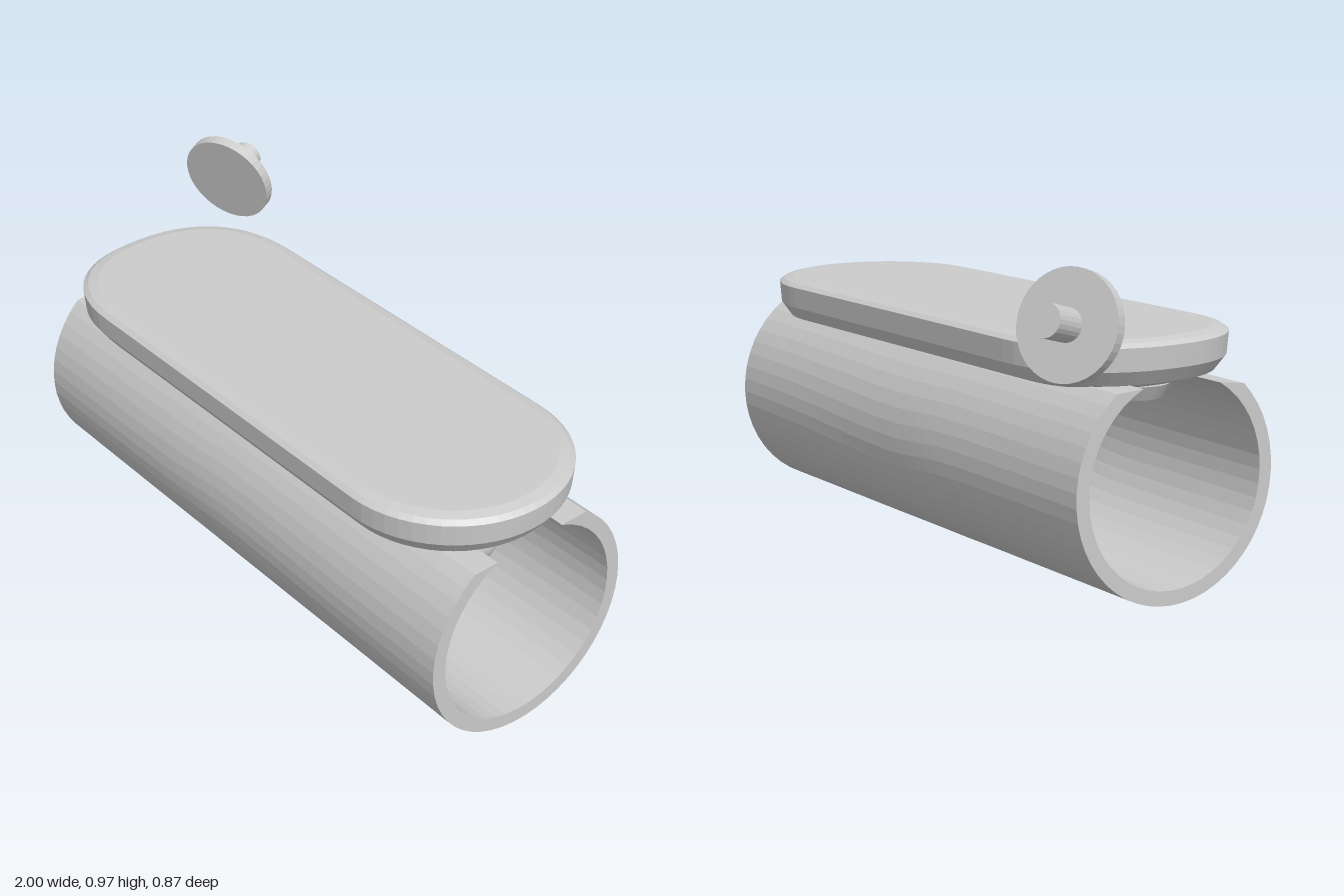
import * as THREE from 'three';

const smooth = new THREE.MeshStandardMaterial({ color: 0xcccccc, side: THREE.DoubleSide });
const flat = new THREE.MeshStandardMaterial({ color: 0xcccccc, side: THREE.DoubleSide, flatShading: true });
const ZC = 0.0885, YC = 0.3435; // tube axis
const HOLE = [-0.63, 0.08];
const rad = THREE.MathUtils.degToRad, lerp = THREE.MathUtils.lerp;

function add(parent, name, geometry, material = flat, x = 0, y = 0, z = 0) {
  const mesh = new THREE.Mesh(geometry, material);
  mesh.name = name;
  mesh.position.set(x, y, z);
  parent.add(mesh);
  return mesh;
}

// Joins closed rings of equal length into a skin.
function loft(rings, capEnds = false) {
  const n = rings[0].length, index = [];
  for (let i = 0; i < rings.length - 1; i++)
    for (let j = 0; j < n; j++) {
      const a = i * n + j, b = i * n + (j + 1) % n;
      index.push(a, a + n, b, b, a + n, b + n);
    }
  // Each half of the ring faces the other half across the wall.
  if (capEnds)
    for (let j = 0; j < n / 2 - 1; j++) {
      const k = n - 1 - j, e = (rings.length - 1) * n;
      index.push(j, j + 1, k, k, j + 1, k - 1);
      index.push(e + j, e + k, e + j + 1, e + k, e + k - 1, e + j + 1);
    }
  const geometry = new THREE.BufferGeometry();
  geometry.setAttribute('position', new THREE.Float32BufferAttribute(rings.flat(2), 3));
  geometry.setIndex(index);
  geometry.computeVertexNormals();
  return geometry;
}

// Split tube with a gentle twist in its facets.
function tubeGeometry() {
  const rings = [], M = 40, stations = 36;
  for (let s = 0; s <= stations; s++) {
    const t = s / stations, x = lerp(-0.83, 1, t);
    const wave = 0.13 * Math.exp(-(((x - 0.1) / (x < 0.1 ? 0.2 : 0.45)) ** 2));
    const arc = (r, back, front) => Array.from({ length: M + 1 }, (_, i) => {
      const u = i / M;
      const a = lerp(rad(back), 2 * Math.PI - rad(front), u) + wave * Math.sin(Math.PI * u);
      return [x, YC + r * Math.cos(a), ZC - r * Math.sin(a)];
    });
    rings.push([
      ...arc(0.3435, lerp(38, 33.6, t), lerp(43, 38, t)),
      ...arc(0.301, lerp(24, 19.4, t), lerp(29, 25.8, t)).reverse(),
    ]);
  }
  return loft(rings, true);
}

// Long plate outline: round on one end, squarer on the other.
function outline(inset) {
  const points = [], N = 28, h = 0.343 - inset;
  const power = (v, p) => Math.sign(v) * Math.abs(v) ** p;
  for (let i = 0; i <= N; i++) {
    const a = -Math.PI / 2 + Math.PI * i / N;
    points.push([0.657 + h * Math.cos(a), h * Math.sin(a)]);
  }
  for (let i = 0; i <= N; i++) {
    const a = Math.PI / 2 + Math.PI * i / N;
    points.push([-0.487 + h * power(Math.cos(a), 0.87), h * power(Math.sin(a), 0.87)]);
  }
  return points;
}

function capShape(inset) {
  return new THREE.Shape(outline(inset).map(([x, z]) => new THREE.Vector2(x, z)));
}

function buildPlate() {
  const plate = new THREE.Group();
  plate.name = 'topPlate';
  const profile = [[0.14, 0.595], [0.09, 0.602], [0.035, 0.62], [0.005, 0.662], [0, 0.727], [0.015, 0.738], [0.045, 0.745]];
  add(plate, 'plateRim', loft(profile.map(([inset, y]) =>
    outline(inset).map(([x, z]) => [x, y, z + ZC]))));
  const top = capShape(0.045);
  top.holes.push(new THREE.Path().absarc(HOLE[0], ZC - HOLE[1], 0.157, 0, Math.PI * 2, true));
  add(plate, 'plateTop', new THREE.ShapeGeometry(top, 24).rotateX(-Math.PI / 2), flat, 0, 0.745, ZC);
  add(plate, 'plateUnderside', new THREE.ShapeGeometry(capShape(0.14)).rotateX(Math.PI / 2), flat, 0, 0.595, ZC);

  // Stepped round recess with a toothed ring on its floor
  const recess = [[0, 0.61], [0.125, 0.61], [0.125, 0.685], [0.157, 0.69], [0.157, 0.745]];
  add(plate, 'recess', new THREE.LatheGeometry(recess.map(p => new THREE.Vector2(...p)), 40), flat, HOLE[0], 0, HOLE[1]);
  for (let i = 0; i < 10; i++) {
    const a = i / 10 * Math.PI * 2;
    const tooth = add(plate, 'recessTooth', new THREE.BoxGeometry(0.06, 0.04, 0.03), flat,
      HOLE[0] + 0.095 * Math.cos(a), 0.63, HOLE[1] + 0.095 * Math.sin(a));
    tooth.rotation.y = -a;
  }
  add(plate, 'boss', new THREE.CylinderGeometry(0.108, 0.085, 0.042, 32), flat, HOLE[0], 0.576, 0.09);
  return plate;
}

// Loose round knob: disc with a short stem, tilted backwards.
function buildKnob() {
  const knob = new THREE.Group();
  knob.name = 'knob';
  add(knob, 'knobDisc', new THREE.CylinderGeometry(0.151, 0.151, 0.034, 40));
  add(knob, 'knobStem', new THREE.CylinderGeometry(0.046, 0.046, 0.11, 24), flat, 0, 0.07, 0);
  knob.position.set(-0.857, 0.818, -0.302);
  knob.quaternion.setFromUnitVectors(new THREE.Vector3(0, 1, 0), new THREE.Vector3(-0.35, 0.25, -0.9).normalize());
  return knob;
}

// Small latch inside the tube: ball, slanted bar, bracket and pin.
function buildLatch() {
  const latch = new THREE.Group();
  latch.name = 'latch';
  add(latch, 'latchBall', new THREE.SphereGeometry(0.12, 28, 20), smooth, 0.57, 0.415, 0.08);
  add(latch, 'latchTip', new THREE.SphereGeometry(0.06, 24, 16), smooth, 0.74, 0.455, 0.05);
  add(latch, 'latchBracket', new THREE.BoxGeometry(0.16, 0.035, 0.22), flat, 0.57, 0.51, 0.09);
  add(latch, 'latchArm', new THREE.BoxGeometry(0.14, 0.17, 0.03), flat, 0.6, 0.44, -0.005);
  const bar = add(latch, 'latchBar', new THREE.BoxGeometry(0.2, 0.04, 0.2), flat, 0.63, 0.41, 0.075);
  bar.rotation.x = -rad(26);
  add(latch, 'latchPin', new THREE.CapsuleGeometry(0.06, 0.02, 8, 20), smooth, 0.66, 0.315, 0.11);
  return latch;
}

export function createModel() {
  const model = new THREE.Group();
  model.name = 'splitTubeWithPlate';
  add(model, 'splitTube', tubeGeometry());
  model.add(buildPlate(), buildKnob(), buildLatch());
  return model;
}
